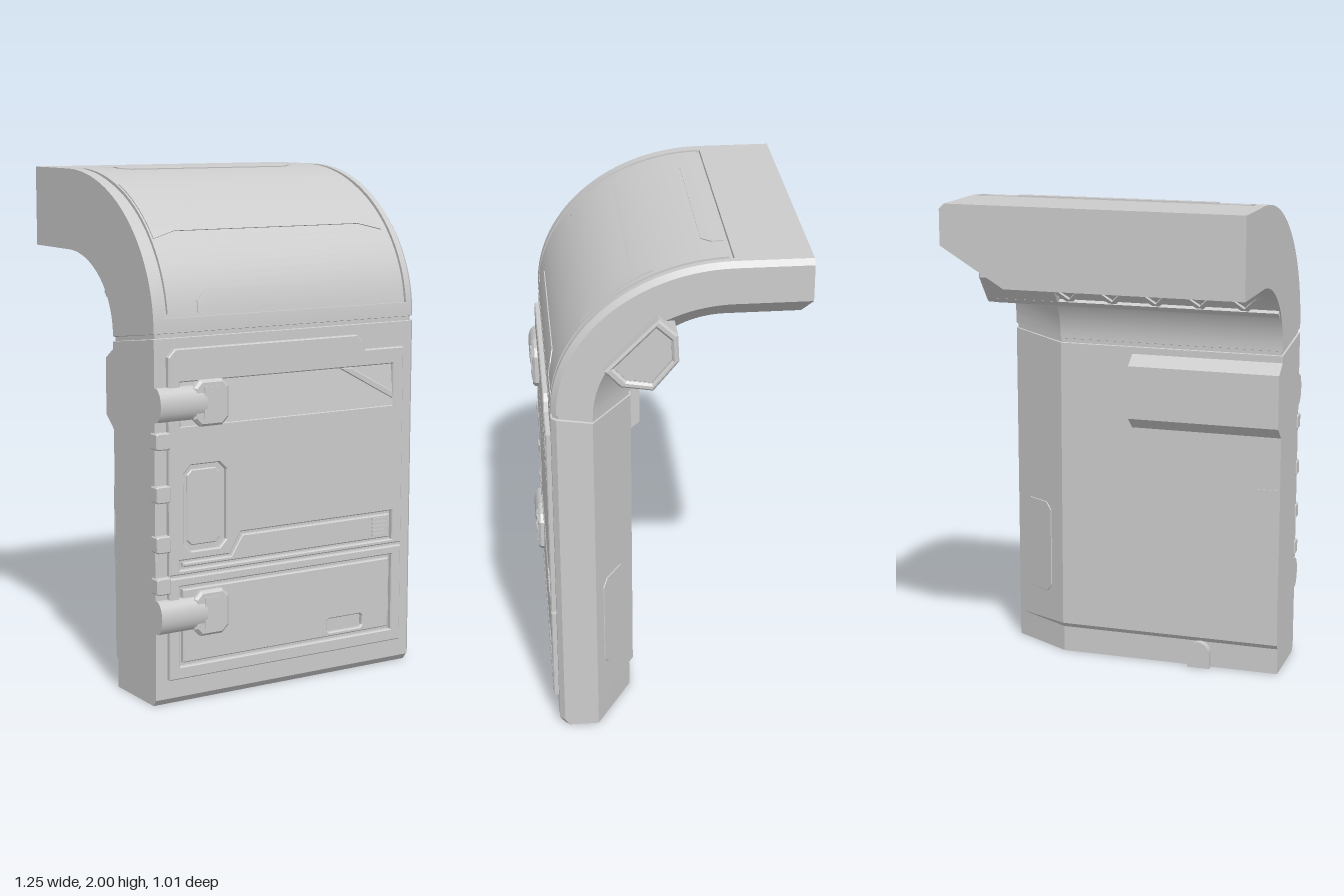
import * as THREE from 'three';
import { toCreasedNormals } from 'three/addons/utils/BufferGeometryUtils.js';

const mat = new THREE.MeshStandardMaterial({ color: 0xcccccc });

function add(parent, name, geo, x = 0, y = 0, z = 0) {
  const m = new THREE.Mesh(geo, mat);
  m.name = name;
  m.position.set(x, y, z);
  parent.add(m);
  return m;
}
const box = (parent, name, w, h, d, x, y, z) => add(parent, name, new THREE.BoxGeometry(w, h, d), x, y, z);

// rectangle with cut corners
const cutRect = (x0, y0, x1, y1, c = 0) => c === 0
  ? [[x0, y0], [x1, y0], [x1, y1], [x0, y1]]
  : [[x0 + c, y0], [x1 - c, y0], [x1, y0 + c], [x1, y1 - c], [x1 - c, y1], [x0 + c, y1], [x0, y1 - c], [x0, y0 + c]];
const toV = pts => pts.map(p => new THREE.Vector2(...p));

// bevelled flat plate, from z0 to z1
function plateGeo(pts, z0, z1, holes = [], bevel = 0.004) {
  const shape = new THREE.Shape(toV(pts));
  shape.holes = holes.map(h => new THREE.Path(toV(h)));
  const geo = new THREE.ExtrudeGeometry(shape, {
    depth: z1 - z0 - 2 * bevel, bevelEnabled: true, bevelThickness: bevel,
    bevelSize: bevel, bevelOffset: -bevel, bevelSegments: 1, curveSegments: 10,
  });
  return geo.translate(0, 0, z0 + bevel);
}

// surface over a grid of points, rows[j][i]; closed joins the ends of each row
function gridGeo(rows, closed, caps) {
  const n = rows[0].length, idx = [];
  for (let j = 0; j < rows.length - 1; j++)
    for (let i = 0; i < (closed ? n : n - 1); i++) {
      const k = (i + 1) % n, a = j * n + i, b = j * n + k;
      idx.push(a, b, b + n, a, b + n, a + n);
    }
  const last = (rows.length - 1) * n;
  if (caps) for (let i = 1; i < n - 1; i++) idx.push(0, i + 1, i, last, last + i, last + i + 1);
  const geo = new THREE.BufferGeometry();
  geo.setAttribute('position', new THREE.Float32BufferAttribute(rows.flat(2), 3));
  geo.setIndex(idx);
  return toCreasedNormals(geo, 0.45);
}

// the bend: [z, y] on an ellipse sharing one centre line
const arc = (rz, y0, ry, t) => [-0.22 + rz * Math.cos(t), y0 + ry * Math.sin(t)];
const outer = t => arc(0.675, 1.42, 0.58, t);
const tAtY = y => Math.asin((y - 1.42) / 0.58);
const W0 = 0.09, W1 = Math.PI / 2; // window range along the bend

// one cross-section of the shell: outer, chamfer and inner points, with local recesses
function section(o, m, i, n, { win = 0, vent = 0, seam = 0 } = {}) {
  const at = (x, p, d) => [x, p[1] - n[1] * d, p[0] - n[0] * d];
  const x0 = -0.62 + seam, x1 = 0.575 - seam;
  return [
    at(x0, o, seam), at(-0.575, o, seam), at(-0.575, o, seam + win), at(0.53, o, seam + win), at(0.53, o, seam),
    at(x1 - 0.02, o, seam), at(x1, o, seam + 0.02), at(x1, m, 0), at(0.32, i, -seam),
    at(0.01, i, -seam), at(0.01, i, vent - seam), at(x0, i, vent - seam),
  ];
}

function shellGeo() {
  const rows = [];
  const wall = (y, opt, zo = 0.455, zi = 0.14, slant = 0) =>
    rows.push(section([zo, y + 2 * slant], [0.3, y + slant], [zi, y], [1, 0], opt));
  wall(0, {}, 0.435, 0.155);
  wall(0.025, {}, 0.455, 0.155);
  wall(0.11, {}, 0.455, 0.155);
  wall(0.13);
  // vent recess
  for (const [y, vent] of [[1.02, 0], [1.07, 0.06], [1.29, 0.06], [1.33, 0]]) wall(y, { vent });
  // seam
  for (const [y, seam] of [[1.358, 0], [1.36, 0.007], [1.376, 0.007], [1.378, 0]]) wall(y, { seam }, 0.455, 0.14, 0.02);
  // bend with window recess
  const bend = (t, win) => rows.push(section(outer(t), arc(0.52, 1.4, 0.44, t), arc(0.36, 1.38, 0.305, t),
    [Math.cos(t), Math.sin(t)], { win }));
  bend(0, 0);
  bend(W0, 0);
  for (let k = 0; k <= 28; k++) bend(W0 + 0.002 + (W1 - W0 - 0.004) * k / 28, 0.012);
  bend(W1, 0);
  rows.push(section([-0.505, 2], [-0.505, 1.84], [-0.505, 1.685], [0, 1]));
  return gridGeo(rows, true, true);
}

// plate wrapped on the bend; columns are [x, tStart, tEnd], edges fold down to the shell
function wrapGeo(cols, lift) {
  const rows = [], nt = 24, c = cols.length;
  for (let j = -1; j <= nt + 1; j++) {
    const row = [];
    for (let i = -1; i <= c; i++) {
      const [x, t0, t1] = cols[Math.min(Math.max(i, 0), c - 1)];
      const t = t0 + (t1 - t0) * Math.min(Math.max(j, 0), nt) / nt;
      const edge = i < 0 || i === c || j < 0 || j > nt;
      const h = edge ? lift - 0.014 : lift, [z, y] = outer(t);
      row.push([x, y + h * Math.sin(t), z + h * Math.cos(t)]);
    }
    rows.push(row);
  }
  return gridGeo(rows, false, false);
}

function buildWindow(g) {
  add(g, 'windowPanel', wrapGeo([[-0.558, W0 + 0.025, W1 - 0.025], [0.513, W0 + 0.025, W1 - 0.025]], 0));
  const [a, b, c, d] = [1.755, 1.78, 1.91, 1.945].map(tAtY);
  add(g, 'windowCentreInset', wrapGeo([[-0.55, a, d], [-0.45, b, c], [0.39, b, c], [0.49, a, d]], 0.004));
  const lo = tAtY(1.487), l1 = tAtY(1.53), l2 = tAtY(1.57);
  add(g, 'windowLowerInset', wrapGeo([[-0.43, lo, l1], [-0.39, lo, l2], [0.33, lo, l2], [0.37, lo, l1]], 0.004));
  add(g, 'windowUpperInset', wrapGeo([[-0.43, 1.475, 1.54], [-0.39, 1.422, 1.54], [0.33, 1.422, 1.54], [0.37, 1.475, 1.54]], 0.004));
}

function buildDoor(g) {
  const Z0 = 0.445, Z1 = 0.475;
  // upper leaf with stepped top edge
  const slot = [[-0.525, 0.522], [0.46, 0.522], [0.46, 0.64], [-0.255, 0.64], [-0.305, 0.56], [-0.525, 0.56]];
  const slotIn = [[-0.51, 0.533], [0.447, 0.533], [0.447, 0.627], [-0.247, 0.627], [-0.297, 0.549], [-0.51, 0.549]];
  const grip = [-0.505, 0.59, -0.32, 0.92];
  add(g, 'upperDoor', plateGeo(
    [[-0.57, 0.505], [0.505, 0.505], [0.505, 1.3], [0.32, 1.3], [0.305, 1.335], [0.28, 1.36], [-0.54, 1.36], [-0.57, 1.33]],
    Z0, Z1, [cutRect(-0.52, 1.07, 0.455, 1.235), slot, cutRect(...grip, 0.03)]));
  add(g, 'doorSlotPanel', plateGeo(slotIn, Z0, Z1 - 0.002));
  box(g, 'doorRamp', 0.975, 0.168, 0.02, -0.0325, 1.152, 0.457).rotation.x = -0.09;
  add(g, 'doorBrace', plateGeo([[0.2, 1.235], [0.25, 1.235], [0.455, 1.125], [0.455, 1.095]].reverse(), Z0, Z1));
  add(g, 'gripDish', plateGeo(cutRect(-0.485, 0.61, -0.34, 0.9, 0.02), Z0, 0.461));
  for (let k = 0; k < 5; k++) box(g, 'doorGrille', 0.065, 0.008, 0.008, 0.393, 0.55 + k * 0.016, Z1);
  // lower leaf
  add(g, 'lowerDoor', plateGeo(cutRect(-0.57, 0.1, 0.505, 0.493), Z0, Z1, [cutRect(-0.525, 0.148, 0.46, 0.46)]));
  add(g, 'lowerDoorPanel', plateGeo(cutRect(-0.511, 0.162, 0.446, 0.446), Z0, Z1 - 0.002,
    [cutRect(0.148, 0.178, 0.318, 0.234, 0.01)]));
}

function buildHinges(g) {
  for (const y of [1.155, 0.35]) {
    const h = new THREE.Group();
    h.name = 'hinge';
    h.position.y = y;
    g.add(h);
    // arm with a rounded face
    const arm = new THREE.CylinderGeometry(0.065, 0.065, 0.2, 24).rotateZ(Math.PI / 2).scale(1, 1, 0.65);
    add(h, 'hingeArm', arm, -0.52, 0, 0.463);
    add(h, 'hingeKnuckle', plateGeo(cutRect(-0.47, -0.09, -0.32, 0.085, 0.028), 0.45, 0.497, [], 0.01));
    box(h, 'hingeLatch', 0.06, 0.12, 0.02, -0.4, 0, 0.492);
  }
  for (const y of [1.02, 0.82, 0.63, 0.47])
    add(g, 'hingeClip', plateGeo(cutRect(-0.625, y - 0.032, -0.565, y + 0.032, 0.006), 0.43, 0.48));
}

function buildBack(g) {
  for (const x of [-0.12, -0.29, -0.45]) box(g, 'ventFin', 0.05, 0.28, 0.06, x, 1.18, 0.178);
  box(g, 'backEdgePlate', 0.1, 0.3, 0.01, -0.571, 0.65, 0.142);
  // panel lying on the chamfer
  const chamfer = add(g, 'chamferPanel', plateGeo(cutRect(-0.085, -0.2, 0.085, 0.2, 0.03), -0.01, 0.004, [], 0.002), 0.455, 0.45, 0.225);
  chamfer.rotation.y = Math.atan2(0.16, -0.255);
  // foot stud with round top
  const stud = new THREE.CylinderGeometry(0.048, 0.048, 0.045, 20).rotateX(Math.PI / 2);
  add(g, 'footStud', stud, -0.285, 0.065, 0.148);
  box(g, 'footStudBase', 0.096, 0.065, 0.045, -0.285, 0.0325, 0.148);
}

function buildTruss(g) {
  // end cap, drawn in (-z, y) and extruded along x
  const rim = [[-0.06, 1.81], [0.01, 1.745], [0.015, 1.64], [-0.08, 1.525], [-0.2, 1.545], [-0.26, 1.61]].reverse();
  const shrink = f => rim.map(([a, b]) => [-0.1 + (a + 0.1) * f, 1.655 + (b - 1.655) * f]);
  add(g, 'trussCapRim', plateGeo(rim, 0.3, 0.62, [shrink(0.78)], 0.008)).rotation.y = Math.PI / 2;
  add(g, 'trussCapFace', plateGeo(shrink(0.8), 0.5, 0.605)).rotation.y = Math.PI / 2;
  // lattice facing down and back, under the bend
  const t = new THREE.Group();
  t.name = 'truss';
  t.position.set(0, 1.582, 0.032);
  t.rotation.x = 2.447;
  g.add(t);
  box(t, 'trussCore', 1.19, 0.12, 0.06, -0.02, 0, -0.065);
  for (const s of [-1, 1]) box(t, 'trussRail', 1.19, 0.025, 0.09, -0.02, s * 0.063, -0.045);
  const n = 12, step = 1.1 / n;
  for (let k = 0; k < n; k++) {
    const bar = box(t, 'trussDiagonal', 0.018, Math.hypot(step, 0.11), 0.035, -0.57 + step * (k + 0.5), 0, -0.022);
    bar.rotation.z = (k % 2 ? 1 : -1) * Math.atan2(step, 0.11);
  }
}

export function createModel() {
  const g = new THREE.Group();
  g.name = 'curvedDoorPanel';
  add(g, 'shell', shellGeo());
  buildWindow(g);
  buildDoor(g);
  buildHinges(g);
  buildBack(g);
  buildTruss(g);
  return g;
}
